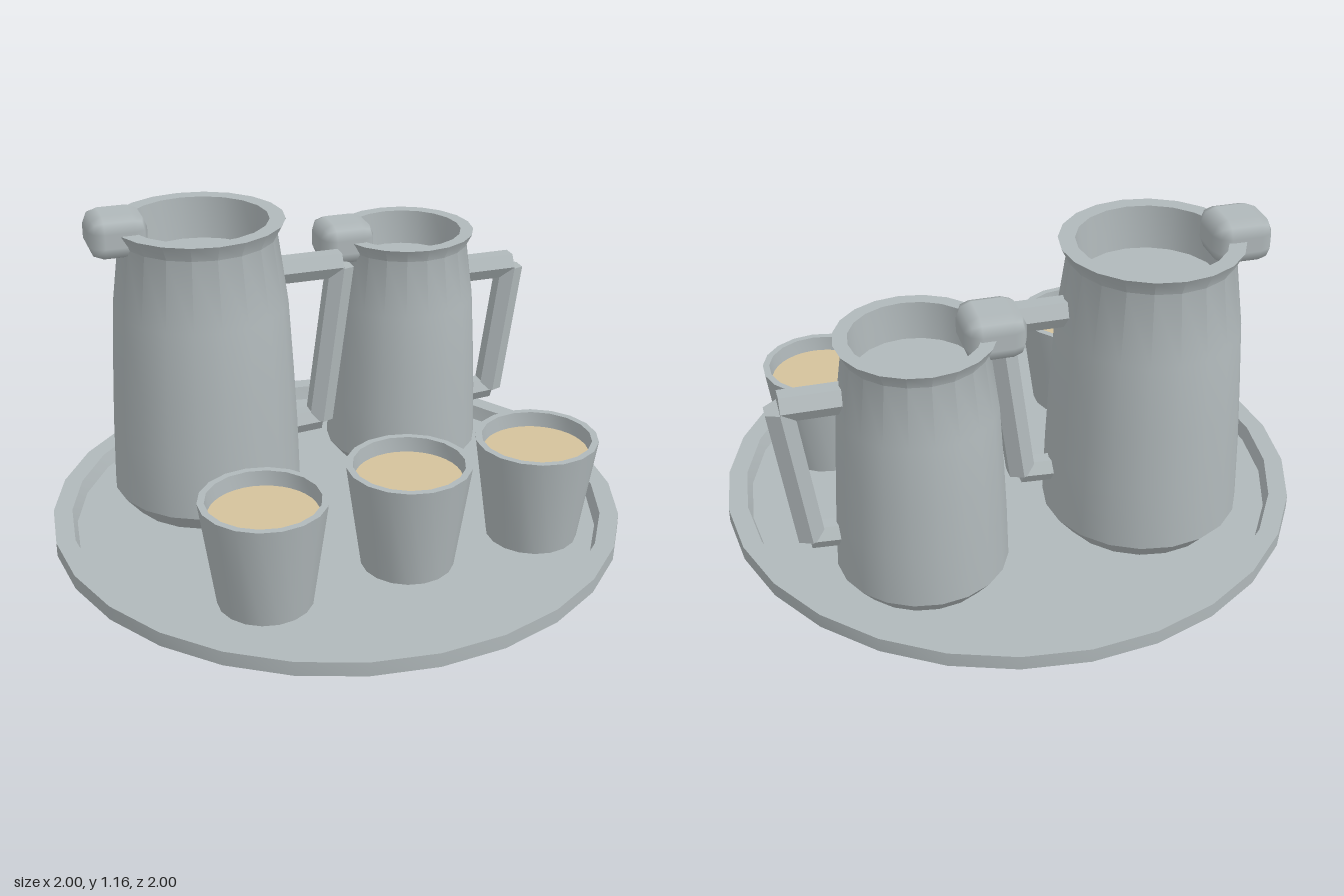
import * as THREE from 'three';
import { toCreasedNormals } from 'three/addons/utils/BufferGeometryUtils.js';
import { RoundedBoxGeometry } from 'three/addons/geometries/RoundedBoxGeometry.js';

const FLOOR = 0.05;

export function createModel() {
  const metal = new THREE.MeshStandardMaterial({ color: 0xb0b8ba });
  metal.name = 'grey metal';
  const milk = new THREE.MeshStandardMaterial({ color: 0xd4c29c });
  milk.name = 'pale tan drink';

  const model = new THREE.Group();
  model.name = 'drinksTray';

  const add = (parent, name, geometry, material = metal) => {
    const mesh = new THREE.Mesh(geometry, material);
    mesh.name = name;
    parent.add(mesh);
    return mesh;
  };

  // Turned part: profile runs from the bottom centre, up the outside, down the inside
  const turned = (profile, sides) => toCreasedNormals(
    new THREE.LatheGeometry(profile.map(([r, y]) => new THREE.Vector2(r, y)), sides), 0.6);

  // Six-sided bar between two points in the xy plane
  const bar = (parent, name, [x1, y1], [x2, y2], radius) => {
    const dx = x2 - x1, dy = y2 - y1;
    const geometry = toCreasedNormals(
      new THREE.CylinderGeometry(radius, radius, Math.hypot(dx, dy), 6), 0.6);
    const mesh = add(parent, name, geometry);
    mesh.position.set((x1 + x2) / 2, (y1 + y2) / 2, 0);
    mesh.rotation.z = Math.atan2(dy, dx) - Math.PI / 2;
  };

  // Tray with a chamfered underside and a raised rim
  add(model, 'tray', turned([
    [0, 0], [0.91, 0], [1, 0.05], [1, 0.1], [0.935, 0.1], [0.92, FLOOR], [0, FLOOR],
  ], 28));

  // Jug: body with flared lip, bevelled thumb knob and three-bar handle
  const addJug = (name, x, z, s) => {
    const jug = new THREE.Group();
    jug.name = name;
    jug.position.set(x, FLOOR, z);
    model.add(jug);
    const body = [
      [0, 0], [0.28, 0], [0.337, 0.07], [0.33, 0.3], [0.32, 0.5], [0.305, 0.75],
      [0.272, 0.995], [0.3, 1.05], [0.245, 1.05], [0.235, 0.9], [0, 0.9],
    ].map(([r, y]) => [r * s, y * s]);
    add(jug, 'jugBody', turned(body, 20));

    const knob = add(jug, 'thumbKnob', new RoundedBoxGeometry(0.2, 0.15, 0.2, 1, 0.05));
    knob.position.set(-0.283 * s, 1.035 * s, 0);

    const top = [0.51 * s, 0.83 * s], low = [0.43 * s, 0.235 * s];
    bar(jug, 'handleTop', [0.24 * s, 0.83 * s], top, 0.051);
    bar(jug, 'handleGrip', [top[0], top[1] - 0.005], low, 0.051);
    bar(jug, 'handleBottom', [0.27 * s, 0.225 * s], low, 0.045);
  };
  addJug('largeJug', -0.4, -0.282, 1);
  addJug('smallJug', 0.4, -0.403, 0.845);

  // Cups with a disc of drink inside
  for (const [x, z] of [[-0.4, 0.475], [0.12, 0.4], [0.6, 0.36]]) {
    const cup = new THREE.Group();
    cup.name = 'cup';
    cup.position.set(x, 0, z);
    model.add(cup);
    add(cup, 'cupBody', turned([
      [0, FLOOR], [0.158, FLOOR], [0.21, 0.42], [0.187, 0.42], [0.181, 0.36], [0, 0.36],
    ], 18));
    const drink = add(cup, 'drink', new THREE.CircleGeometry(0.182, 18), milk);
    drink.rotation.x = -Math.PI / 2;
    drink.position.y = 0.368;
  }

  return model;
}
